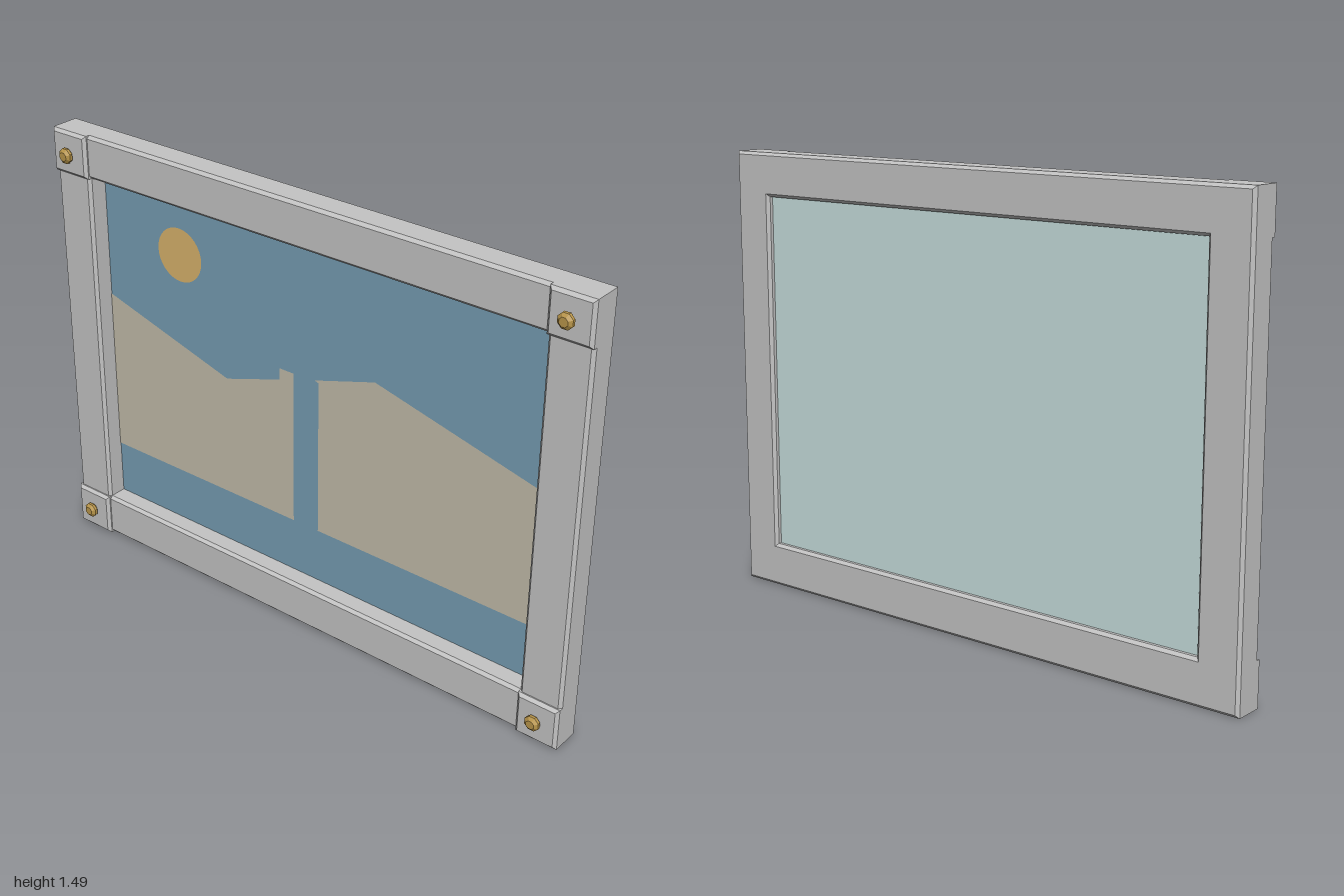
import * as THREE from 'three';

const mat = (name, color) => {
  const m = new THREE.MeshStandardMaterial({ color });
  m.name = name;
  return m;
};

export function createModel() {
  const group = new THREE.Group();
  const grey = mat('frame grey', 0xc4c4c4);
  const sky = mat('sky blue', 0x769db2);
  const land = mat('land beige', 0xc2bca9);
  const sun = mat('sun gold', 0xd8b26c);
  const back = mat('backing pale teal', 0xc8dfde);
  const brass = mat('bolt brass', 0xb8954a);

  const W = 1, H = 1.487, INNER = 0.855, LOW = 0.148, HIGH = 1.342;
  const BACK = -0.073, RAIL = 0.029, CORNER = 0.043, CH = 0.01;

  const add = (name, geometry, material, x = 0, y = 0, z = 0) => {
    const mesh = new THREE.Mesh(geometry, material);
    mesh.name = name;
    mesh.position.set(x, y, z);
    group.add(mesh);
    return mesh;
  };
  const polygon = (pts) => new THREE.Shape(pts.map(([x, y]) => new THREE.Vector2(x, y)));
  const rect = (x0, y0, x1, y1) => polygon([[x0, y0], [x1, y0], [x1, y1], [x0, y1]]);

  // Extrusion between two z planes with chamfered rims
  const chamfered = (shape, z0, z1) => {
    const g = new THREE.ExtrudeGeometry(shape, {
      depth: z1 - z0 - 2 * CH, bevelEnabled: true, bevelSegments: 1,
      bevelSize: CH, bevelThickness: CH, bevelOffset: -CH,
    });
    return g.translate(0, 0, z0 + CH);
  };

  // Frame with its window opening
  const frame = rect(-W, 0, W, H);
  frame.holes.push(rect(-INNER, LOW, INNER, HIGH));
  add('frame', chamfered(frame, BACK, RAIL), grey);

  // Bolt: flattened eight-sided bead, its axis along z
  const bolt = new THREE.LatheGeometry([
    new THREE.Vector2(0, -0.014), new THREE.Vector2(0.015, -0.014),
    new THREE.Vector2(0.026, -0.005), new THREE.Vector2(0.026, 0.005),
    new THREE.Vector2(0.015, 0.014), new THREE.Vector2(0, 0.014),
  ], 8).rotateX(Math.PI / 2).rotateZ(Math.PI / 8).toNonIndexed();
  bolt.computeVertexNormals();

  // Raised corner blocks, each with a bolt
  for (const side of [-1, 1]) {
    for (const top of [false, true]) {
      const label = (top ? 'top' : 'bottom') + (side > 0 ? 'Left' : 'Right');
      const x0 = side > 0 ? INNER : -W;
      const y0 = top ? HIGH : 0;
      const y1 = top ? H : LOW;
      const block = rect(x0, y0, x0 + W - INNER, y1);
      add(label + 'Corner', chamfered(block, 0, CORNER), grey);
      add(label + 'Bolt', bolt, brass, side * 0.925, top ? 1.413 : 0.08, 0.059);
    }
  }

  // Picture panel and backing board inside the opening
  const midY = (LOW + HIGH) / 2;
  const panel = (depth) => new THREE.BoxGeometry(2 * INNER + 0.01, HIGH - LOW + 0.01, depth);
  add('skyPanel', panel(0.008), sky, 0, midY, -0.042);
  add('backingBoard', panel(0.006), back, 0, midY, -0.049);

  // Painted scene
  const paintZ = -0.036;
  add('landRight', new THREE.ShapeGeometry(polygon([
    [-0.855, 0.34], [-0.07, 0.34], [-0.07, 0.88], [-0.125, 0.88],
    [-0.125, 0.84], [-0.345, 0.768], [-0.855, 0.917],
  ])), land, 0, 0, paintZ);
  add('landLeft', new THREE.ShapeGeometry(polygon([
    [0.03, 0.34], [0.855, 0.34], [0.855, 0.808], [0.245, 0.957],
    [0.015, 0.885], [0.03, 0.88],
  ])), land, 0, 0, paintZ);
  add('sun', new THREE.CircleGeometry(0.092, 32), sun, -0.535, 1.147, paintZ);

  return group;
}
